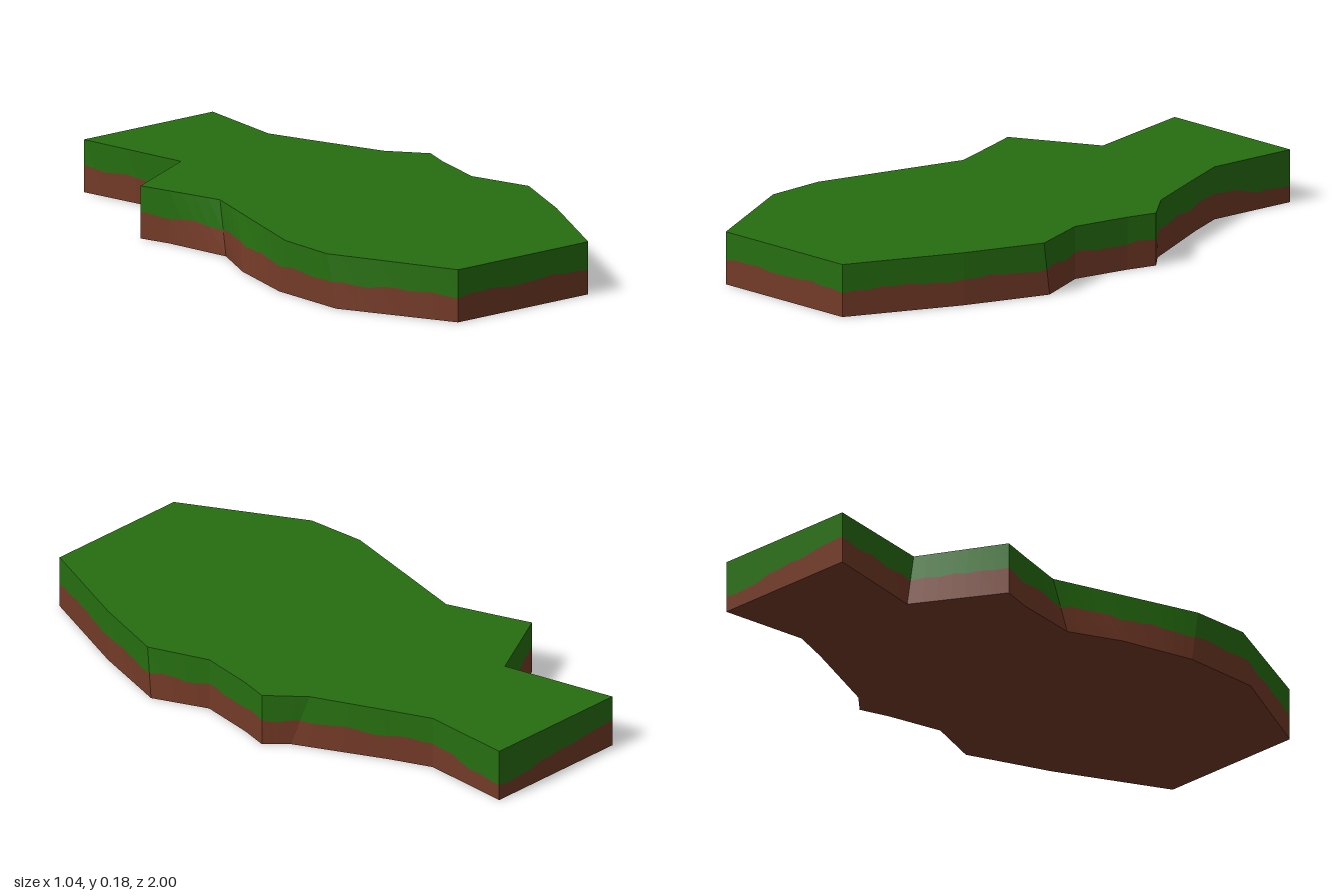
import * as THREE from 'three';

// Outline corners: top x, top z, bottom x, bottom z (clockwise seen from above)
const OUTLINE = [
  [-0.26, -1, -0.26, -1], [0.28, -1, 0.28, -1], [0.255, -0.68, 0.255, -0.68],
  [0.31, -0.54, 0.31, -0.54], [0.415, -0.28, 0.45, -0.23], [0.515, -0.16, 0.515, -0.16],
  [0.485, -0.06, 0.485, -0.06], [0.445, 0.14, 0.445, 0.14], [0.515, 0.35, 0.52, 0.33],
  [0.415, 0.62, 0.415, 0.62], [0.24, 1, 0.24, 1], [-0.305, 1, -0.305, 1],
  [-0.515, 0.58, -0.51, 0.62], [-0.52, 0.37, -0.522, 0.34], [-0.42, 0.01, -0.465, 0.08],
  [-0.375, -0.15, -0.39, -0.1], [-0.435, -0.34, -0.435, -0.34],
  [-0.47, -0.445, -0.47, -0.445], [-0.18, -0.595, -0.175, -0.62],
];
const HEIGHT = 0.178;

// Uneven height of the line where grass meets soil, lower at the back corner
function soilLine(x, z) {
  const dip = THREE.MathUtils.smoothstep(-z, 0.65, 1) * THREE.MathUtils.smoothstep(x, -0.2, 0.28);
  return 0.087 + 0.004 * Math.sin(23 * x + 31 * z) + 0.003 * Math.sin(57 * x - 47 * z) - 0.035 * dip;
}

// Point on the side wall for one outline position at height y
function wallPoint(p, y) {
  const t = y / HEIGHT;
  return [p[2] + (p[0] - p[2]) * t, y, p[3] + (p[1] - p[3]) * t];
}

// Band around the outline between two height rules
function band(lower, upper) {
  const pos = [];
  OUTLINE.forEach((a, i) => {
    const b = OUTLINE[(i + 1) % OUTLINE.length];
    const steps = Math.max(2, Math.ceil(Math.hypot(b[0] - a[0], b[1] - a[1]) / 0.05));
    const at = (k) => a.map((v, j) => v + (b[j] - v) * (k / steps));
    for (let k = 0; k < steps; k++) {
      const p = at(k), q = at(k + 1);
      const p0 = wallPoint(p, lower(p[0], p[1])), p1 = wallPoint(p, upper(p[0], p[1]));
      const q0 = wallPoint(q, lower(q[0], q[1])), q1 = wallPoint(q, upper(q[0], q[1]));
      pos.push(...p0, ...p1, ...q1, ...p0, ...q1, ...q0);
    }
  });
  const geo = new THREE.BufferGeometry();
  geo.setAttribute('position', new THREE.Float32BufferAttribute(pos, 3));
  geo.computeVertexNormals();
  return geo;
}

// Flat face filling the outline, facing up or down
function cap(up) {
  const pts = OUTLINE.map((p) => (up ? new THREE.Vector2(p[0], -p[1]) : new THREE.Vector2(p[2], p[3])));
  const geo = new THREE.ShapeGeometry(new THREE.Shape(pts));
  geo.rotateX(up ? -Math.PI / 2 : Math.PI / 2);
  geo.translate(0, up ? HEIGHT : 0, 0);
  return geo;
}

export function createModel() {
  const grass = new THREE.MeshStandardMaterial({ color: 0x266e10 });
  grass.name = 'grass green';
  const soil = new THREE.MeshStandardMaterial({ color: 0x733a27 });
  soil.name = 'soil brown';

  const group = new THREE.Group();
  group.name = 'groundPatch';
  const add = (name, geo, mat) => {
    const mesh = new THREE.Mesh(geo, mat);
    mesh.name = name;
    group.add(mesh);
  };
  add('grassTop', cap(true), grass);
  add('grassEdge', band(soilLine, () => HEIGHT), grass);
  add('soilEdge', band(() => 0, soilLine), soil);
  add('soilBase', cap(false), soil);
  return group;
}
